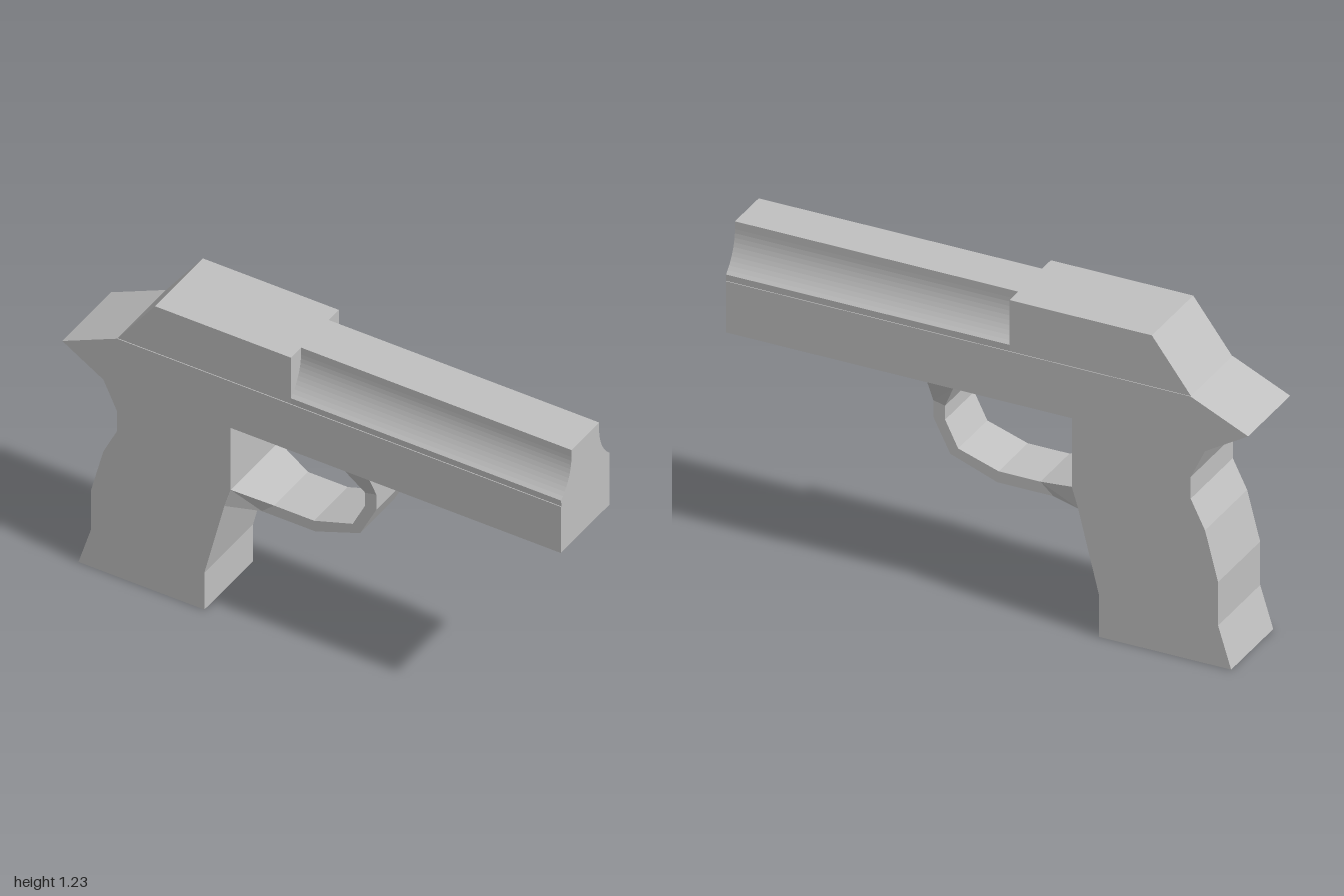
import * as THREE from 'three';

const FRAME_HALF = 0.159, SLIDE_HALF = 0.156;
const SEAM_Y = 1.03, TOP_Y = 1.23, GROOVE_X = -0.085;

const shapeOf = (pts) => new THREE.Shape(pts.map(([x, y]) => new THREE.Vector2(x, y)));

// Side outline extruded across the width, centred on z = 0
function sidePlate(pts, half) {
  const geo = new THREE.ExtrudeGeometry(shapeOf(pts), { depth: half * 2, bevelEnabled: false });
  return geo.translate(0, 0, -half);
}

// Faceted strip through stations of [innerX, innerY, outerX, outerY, halfWidth]
function strip(stations) {
  const rings = stations.map(([ix, iy, ox, oy, h]) => [
    [ix, iy, h], [ox, oy, h], [ox, oy, -h], [ix, iy, -h],
  ]);
  const pos = [];
  for (let i = 0; i < rings.length - 1; i++) {
    for (let k = 0; k < 4; k++) {
      const n = (k + 1) % 4;
      const a = rings[i][k], b = rings[i][n], c = rings[i + 1][n], d = rings[i + 1][k];
      pos.push(...a, ...b, ...c, ...a, ...c, ...d);
    }
  }
  const geo = new THREE.BufferGeometry();
  geo.setAttribute('position', new THREE.Float32BufferAttribute(pos, 3));
  geo.computeVertexNormals();
  return geo;
}

export function createModel() {
  const group = new THREE.Group();
  const metal = new THREE.MeshStandardMaterial({ color: 0xc0c0c0 });
  metal.name = 'light grey';

  const add = (name, geo) => {
    const mesh = new THREE.Mesh(geo, metal);
    mesh.name = name;
    group.add(mesh);
  };

  // Lower frame, rear spur and contoured grip
  add('frameAndGrip', sidePlate([
    [-1, 0.93], [-0.835, 0.83], [-0.78, 0.715], [-0.78, 0.63], [-0.835, 0.52],
    [-0.885, 0.33], [-0.885, 0.16], [-0.935, 0], [-0.43, 0], [-0.43, 0.16],
    [-0.35, 0.48], [-0.325, 0.56], [-0.325, 0.83], [1, 0.83], [1, SEAM_Y], [-0.78, SEAM_Y],
  ], FRAME_HALF));

  // Full-width rear of the slide
  add('slideRear', sidePlate([
    [-0.78, SEAM_Y], [GROOVE_X, SEAM_Y], [GROOVE_X, TOP_Y], [-0.63, TOP_Y],
  ], SLIDE_HALF));

  // Front of the slide: a hollow curve is scooped from each upper side
  const right = [[SLIDE_HALF, SEAM_Y]];
  const radius = 0.19, centre = 0.28, steps = 10;
  for (let i = 0; i <= steps; i++) {
    const t = Math.PI + (1 - i / steps) * 0.866;
    right.push([centre + radius * Math.cos(t), 1.2 + radius * Math.sin(t)]);
  }
  right.push([0.09, TOP_Y]);
  const left = right.map(([z, y]) => [-z, y]).reverse();
  const front = new THREE.ExtrudeGeometry(shapeOf([...right, ...left]), {
    depth: 1 - GROOVE_X, bevelEnabled: false,
  });
  add('slideFront', front.rotateY(Math.PI / 2).translate(GROOVE_X, 0, 0));

  // Trigger guard, flaring to the frame width at both ends
  add('triggerGuard', strip([
    [-0.325, 0.56, -0.35, 0.48, 0.157],
    [-0.18, 0.52, -0.23, 0.476, 0.11],
    [-0.02, 0.52, -0.015, 0.476, 0.11],
    [0.135, 0.57, 0.165, 0.542, 0.11],
    [0.185, 0.67, 0.23, 0.67, 0.11],
    [0.185, 0.725, 0.23, 0.735, 0.11],
    [0.13, 0.83, 0.23, 0.83, 0.157],
  ]));

  return group;
}
